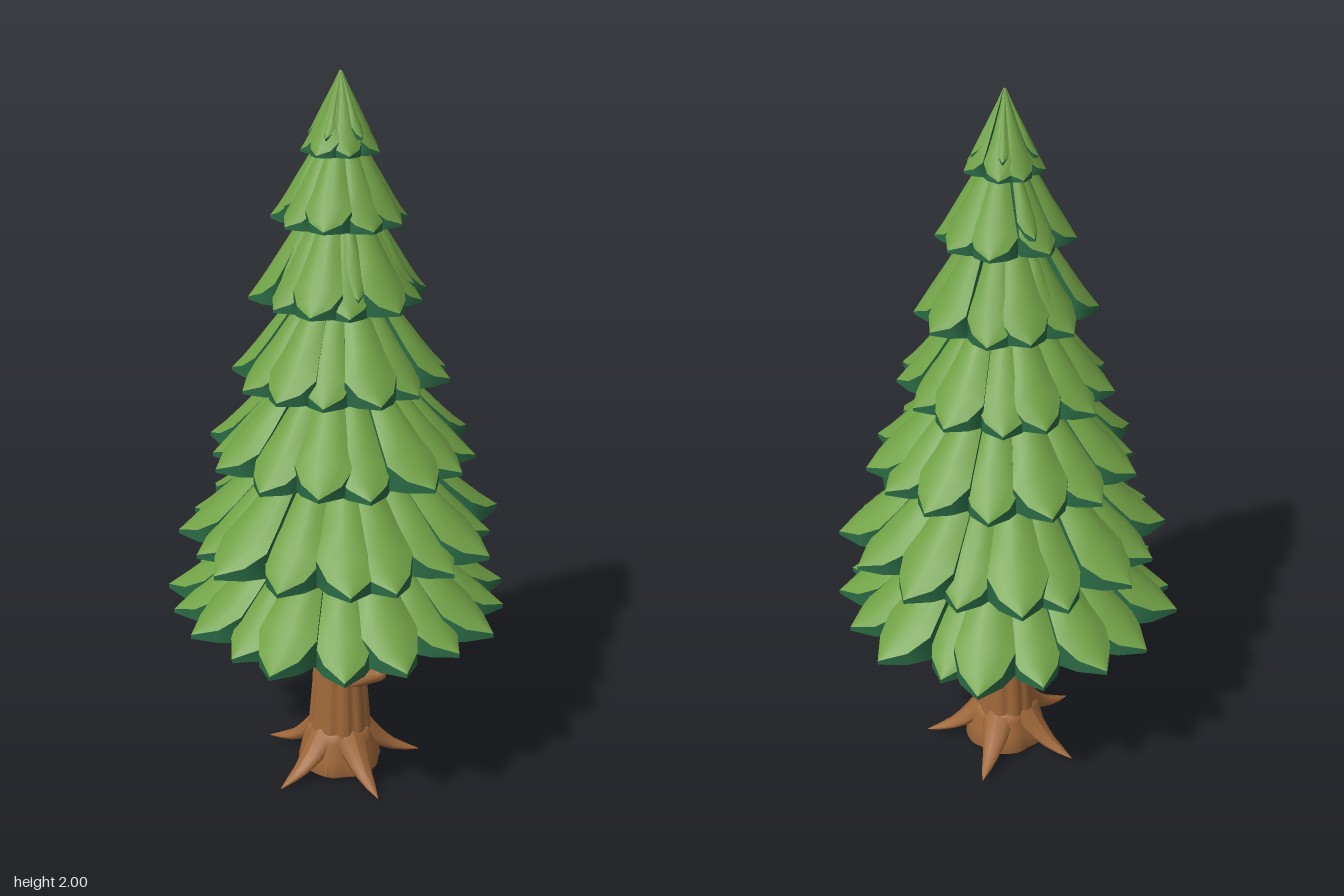
import * as THREE from 'three';
import { mergeGeometries } from 'three/addons/utils/BufferGeometryUtils.js';

const material = (name, color, side = THREE.FrontSide) => {
  const m = new THREE.MeshStandardMaterial({ color, side });
  m.name = name;
  return m;
};

// Small seeded random generator
function seeded(seed) {
  return () => {
    seed = (seed * 16807) % 2147483647;
    return seed / 2147483647;
  };
}

// Smooth grid surface through point(u, v) for the listed u and v values
function sheet(point, us, vs, flip = false) {
  const pos = [], index = [], n = vs.length;
  for (const u of us) for (const v of vs) pos.push(...point(u, v));
  for (let i = 0; i < us.length - 1; i++) {
    for (let j = 0; j < n - 1; j++) {
      const a = i * n + j, b = a + n, c = a + 1, d = b + 1;
      if (flip) index.push(a, c, b, c, d, b);
      else index.push(a, b, c, c, b, d);
    }
  }
  const g = new THREE.BufferGeometry();
  g.setAttribute('position', new THREE.Float32BufferAttribute(pos, 3));
  g.setIndex(index);
  g.computeVertexNormals();
  return g;
}

const ROWS = [0, 0.2, 0.4, 0.58, 0.74, 0.87, 1];
const COLS = [-1, -0.6, -0.2, 0.2, 0.6, 1];

// One arched, pointed frond: light top, dark pleated underside and rim
function addFrond(light, dark, { angle, half, r0, R, yb, yt, arch, thick, lift = 0 }) {
  const place = (u, v, y) => {
    const taper = u < 0.75 ? 1 : ((1 - u) / 0.25) ** 0.85;
    const phi = angle + v * half * (0.82 + 0.25 * u) * taper;
    const r = r0 + (R - r0) * u;
    return [r * Math.sin(phi), y, r * Math.cos(phi)];
  };
  const bulge = (u, v) => arch * (1 - v * v) * Math.min(1, u * 2) * (1 - u ** 4);
  const top = (u, v) =>
    place(u, v, yb + thick + lift + (yt - yb - thick) * (1 - u) ** 1.35 + bulge(u, v));
  const under = (u, v) => place(u, v, yb + lift * u * u + 0.85 * bulge(u, v));

  light.push(sheet(top, ROWS, COLS));
  dark.push(sheet(under, ROWS, COLS, true));
  for (const s of [-1, 1]) {
    dark.push(sheet((u, w) => (w ? under(u, s) : top(u, s)), ROWS, [0, 1], s < 0));
  }
}

// Tiers: rim height, top height, inner radius, rim radius, frond count
const TIERS = [
  [0.53, 0.90, 0.065, 0.49, 18],
  [0.755, 1.10, 0.08, 0.46, 17],
  [0.99, 1.32, 0.06, 0.385, 15],
  [1.205, 1.52, 0.05, 0.30, 13],
  [1.42, 1.73, 0.04, 0.24, 11],
  [1.625, 1.89, 0.02, 0.185, 9],
  [1.8, 2.0, 0.003, 0.107, 7],
];

function foliageTier([yb, yt, r0, R, n], k, green, darkGreen) {
  const rand = seeded(211 + k * 97);
  const light = [], dark = [];
  const step = (Math.PI * 2) / n;
  const thick = 0.003 + 0.018 * R;
  for (let i = 0; i < n; i++) {
    const low = i % 2;
    addFrond(light, dark, {
      angle: (i + 0.35 * (rand() - 0.5)) * step + k * 0.7,
      half: step * 0.62,
      r0, yb, yt, thick,
      R: R * (low ? 0.89 + 0.08 * rand() : 0.95 + 0.06 * rand()),
      arch: 0.2 * R * step,
      lift: low || k === 6 ? 0 : 0.026 * R,
    });
  }
  // Narrow raised fronds lying on the upper tiers
  if (k > 3) {
    for (let i = 0; i < 5; i++) {
      addFrond(light, dark, {
        angle: (i + 0.3 * rand()) * Math.PI * 0.4 + k,
        half: 0.24, r0, yt, thick,
        R: R * 0.8, yb: yb + 0.04, arch: 0.16 * R,
      });
    }
  }
  const group = new THREE.Group();
  group.name = `foliageTier${k + 1}`;
  const tops = new THREE.Mesh(mergeGeometries(light), green);
  tops.name = 'frondTops';
  const unders = new THREE.Mesh(mergeGeometries(dark), darkGreen);
  unders.name = 'frondUndersides';
  group.add(tops, unders);
  return group;
}

// Lathe whose radius is pushed in and out to make bark ridges
function ridgedLathe(profile, ridges, depth) {
  const g = new THREE.LatheGeometry(profile.map(([r, y]) => new THREE.Vector2(r, y)), 66);
  const p = g.attributes.position;
  for (let i = 0; i < p.count; i++) {
    const a = Math.atan2(p.getX(i), p.getZ(i));
    const f = 1 - depth * Math.abs(Math.sin((a * ridges) / 2 + 0.4)) ** 6;
    p.setX(i, p.getX(i) * f);
    p.setZ(i, p.getZ(i) * f);
  }
  g.computeVertexNormals();
  return g;
}

// Tapering root that sweeps down and outward along +z
function rootGeometry() {
  const path = new THREE.CatmullRomCurve3([
    new THREE.Vector3(0, 0.12, 0.06),
    new THREE.Vector3(0, 0.075, 0.105),
    new THREE.Vector3(0, 0.036, 0.16),
    new THREE.Vector3(0, 0.01, 0.238),
  ]);
  const us = [0, 0.17, 0.34, 0.5, 0.67, 0.84, 1];
  const vs = Array.from({ length: 11 }, (_, i) => i / 10);
  return sheet((u, v) => {
    const c = path.getPoint(u), t = path.getTangent(u), a = v * Math.PI * 2;
    const w = 0.052 * (1 - u) ** 0.75 + 0.001, h = 0.034 * (1 - u) ** 0.85 + 0.001;
    const s = Math.cos(a) * h;
    return [Math.sin(a) * w, Math.max(0, c.y + t.z * s), c.z - t.y * s];
  }, us, vs);
}

// Rounded branch stub between two points
function stub(name, from, to, mat) {
  const a = new THREE.Vector3(...from), b = new THREE.Vector3(...to);
  const dir = b.clone().sub(a);
  const mesh = new THREE.Mesh(new THREE.CapsuleGeometry(0.023, dir.length(), 4, 12), mat);
  mesh.name = name;
  mesh.position.copy(a).add(b).multiplyScalar(0.5);
  mesh.quaternion.setFromUnitVectors(new THREE.Vector3(0, 1, 0), dir.normalize());
  return mesh;
}

export function createModel() {
  const green = material('leaf green', 0x71a146);
  const darkGreen = material('underside green', 0x2b6a45);
  const bark = material('bark brown', 0xa0683a, THREE.DoubleSide);
  const tree = new THREE.Group();
  tree.name = 'pineTree';

  // Trunk and its flared base
  const trunk = new THREE.Mesh(
    ridgedLathe([[0.094, 0.05], [0.09, 0.15], [0.08, 0.27], [0.075, 0.4], [0.073, 0.6], [0.05, 0.85]], 11, 0.08), bark);
  trunk.name = 'trunk';
  const base = new THREE.Mesh(
    ridgedLathe([[0.001, 0], [0.105, 0], [0.122, 0.015], [0.112, 0.06], [0.1, 0.11], [0.09, 0.135], [0.07, 0.135]], 5, 0.06), bark);
  base.name = 'trunkBase';
  tree.add(trunk, base);

  // Five evenly spaced roots
  const rootShape = rootGeometry();
  for (let i = 0; i < 5; i++) {
    const root = new THREE.Mesh(rootShape, bark);
    root.name = `root${i + 1}`;
    root.rotation.y = Math.PI / 4 + (i * Math.PI * 2) / 5;
    tree.add(root);
  }

  tree.add(stub('leftBranchStub', [0.05, 0.295, 0.03], [0.128, 0.338, 0.038], bark));
  tree.add(stub('rightBranchStub', [-0.04, 0.415, 0.045], [-0.115, 0.456, 0.066], bark));

  TIERS.forEach((tier, k) => tree.add(foliageTier(tier, k, green, darkGreen)));
  return tree;
}
